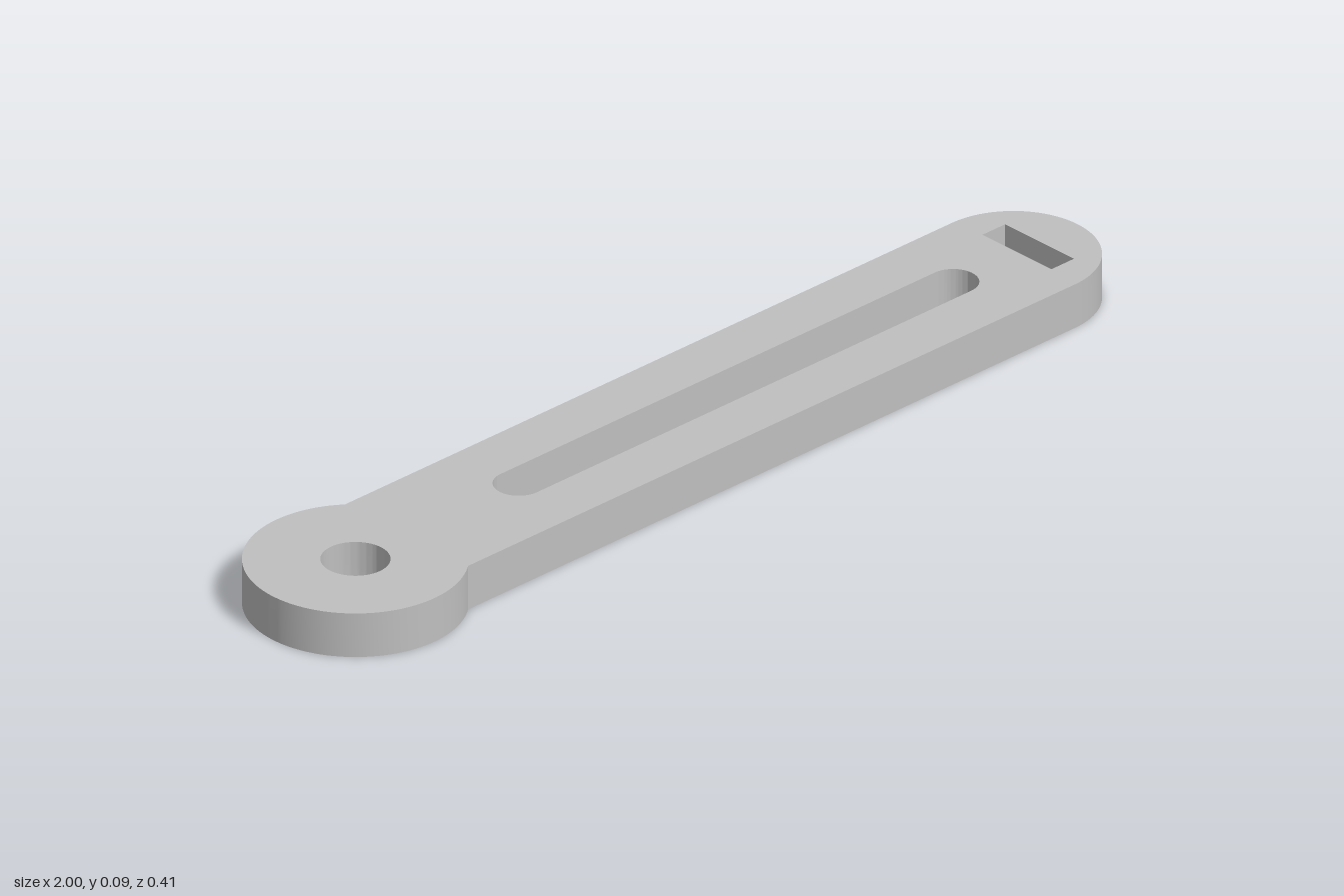
import * as THREE from 'three';
import { toCreasedNormals } from 'three/addons/utils/BufferGeometryUtils.js';

const THICKNESS = 0.089;
const EYE = { x: -0.7965, radius: 0.2035, bore: 0.063 };
const BAR = { halfWidth: 0.159, endX: 0.841 };
const SLOT = { x0: -0.437, x1: 0.738, radius: 0.047 };
const WINDOW = { x0: 0.85, x1: 0.906, halfDepth: 0.089 };

// Outline: round eye on one end, straight bar, semicircular tip on the other
function armOutline() {
  const joint = Math.asin(BAR.halfWidth / EYE.radius);
  const shape = new THREE.Shape();
  shape.absarc(EYE.x, 0, EYE.radius, joint, Math.PI * 2 - joint, false);
  shape.absarc(BAR.endX, 0, BAR.halfWidth, -Math.PI / 2, Math.PI / 2, false);
  shape.closePath();
  return shape;
}

// Round pivot hole
function boreHole() {
  return new THREE.Path().absarc(EYE.x, 0, EYE.bore, 0, Math.PI * 2, true);
}

// Long slot with rounded ends
function slotHole() {
  const { x0, x1, radius } = SLOT;
  const path = new THREE.Path();
  path.absarc(x1 - radius, 0, radius, Math.PI / 2, -Math.PI / 2, true);
  path.absarc(x0 + radius, 0, radius, -Math.PI / 2, -Math.PI * 1.5, true);
  path.closePath();
  return path;
}

// Small rectangular cut-out near the tip
function windowHole() {
  const { x0, x1, halfDepth } = WINDOW;
  return new THREE.Path([
    new THREE.Vector2(x0, -halfDepth),
    new THREE.Vector2(x0, halfDepth),
    new THREE.Vector2(x1, halfDepth),
    new THREE.Vector2(x1, -halfDepth),
  ]).closePath();
}

export function createModel() {
  const group = new THREE.Group();
  group.name = 'slottedArm';

  const grey = new THREE.MeshStandardMaterial({ color: 0xbfbfbf });
  grey.name = 'plainGrey';

  const shape = armOutline();
  shape.holes.push(boreHole(), slotHole(), windowHole());

  // Extrude upwards from the ground, smooth around the curves only
  const plate = new THREE.ExtrudeGeometry(shape, {
    depth: THICKNESS,
    bevelEnabled: false,
    curveSegments: 48,
  });
  plate.rotateX(-Math.PI / 2);

  const arm = new THREE.Mesh(toCreasedNormals(plate, Math.PI / 6), grey);
  arm.name = 'armPlate';
  group.add(arm);
  return group;
}
